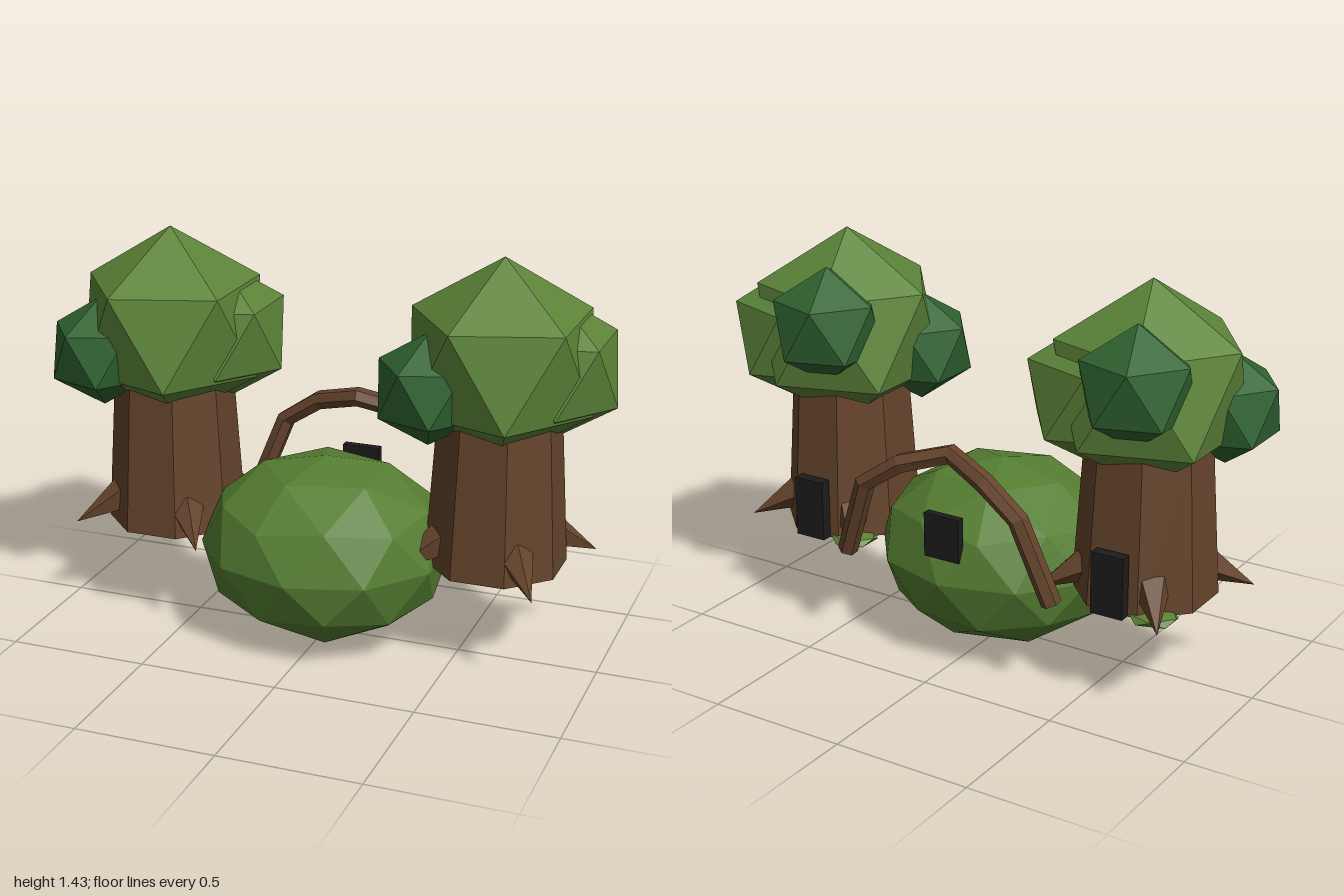
import * as THREE from 'three';

const mat = (name, color) => {
  const m = new THREE.MeshStandardMaterial({ color });
  m.name = name;
  return m;
};

// Faceted normals for the low-poly look
function facet(geo) {
  const g = geo.index ? geo.toNonIndexed() : geo;
  g.computeVertexNormals();
  return g;
}

function add(parent, name, geo, material, x = 0, y = 0, z = 0) {
  const mesh = new THREE.Mesh(facet(geo), material);
  mesh.name = name;
  mesh.position.set(x, y, z);
  parent.add(mesh);
  return mesh;
}

// Icosahedron standing on one of its corners
const blob = (r, detail = 0) =>
  new THREE.IcosahedronGeometry(r, detail).rotateZ(Math.atan(2 / (1 + Math.sqrt(5))));

// Path of straight pieces with a tube ring at every point
class BentPath extends THREE.Curve {
  constructor(points) {
    super();
    this.points = points;
  }
  getPointAt(t, target = new THREE.Vector3()) {
    const n = this.points.length - 1;
    const f = Math.min(Math.max(t, 0), 1) * n;
    const i = Math.min(Math.floor(f + 1e-6), n - 1);
    return target.lerpVectors(this.points[i], this.points[i + 1], f - i);
  }
  getPoint(t, target) {
    return this.getPointAt(t, target);
  }
  getTangentAt(t, target = new THREE.Vector3()) {
    const a = this.getPointAt(t - 0.02);
    return target.copy(this.getPointAt(t + 0.02)).sub(a).normalize();
  }
}

export function createModel() {
  const leaf = mat('leaf green', 0x5c8438);
  const moss = mat('moss green', 0x557e32);
  const darkLeaf = mat('dark leaf green', 0x2f6330);
  const bark = mat('bark brown', 0x65442c);
  const black = mat('black', 0x1c1c1c);

  const model = new THREE.Group();
  model.name = 'treeGate';

  // Round bush in the middle
  add(model, 'bush', blob(1, 1).scale(0.45, 0.335, 0.42), moss, 0, 0.335, 0);
  add(model, 'bushPanel', new THREE.BoxGeometry(0.14, 0.16, 0.03), black, 0, 0.5, -0.375);

  // Bent branch arching behind the bush
  const half = [[0.42, 0.35, -0.36], [0.31, 0.64, -0.395], [0.17, 0.735, -0.38]];
  const points = [
    ...half.map(([x, y, z]) => new THREE.Vector3(-x, y, z)),
    new THREE.Vector3(0, 0.785, -0.325),
    ...half.map(([x, y, z]) => new THREE.Vector3(x, y, z)).reverse(),
  ];
  add(model, 'arch', new THREE.TubeGeometry(new BentPath(points), 6, 0.036, 6), bark);
  for (const [end, next] of [[0, 1], [6, 5]]) {
    const cap = add(model, 'archEnd', new THREE.CircleGeometry(0.036, 6), bark);
    cap.position.copy(points[end]);
    cap.lookAt(points[end].clone().multiplyScalar(2).sub(points[next]));
  }

  // Two equal trees
  for (const [name, x] of [['leftTree', 0.61], ['rightTree', -0.61]]) {
    const tree = new THREE.Group();
    tree.name = name;
    tree.position.set(x, 0, -0.06);
    model.add(tree);

    const trunk = new THREE.CylinderGeometry(0.212, 0.25, 0.58, 8).rotateY(Math.PI / 8);
    add(tree, 'trunk', trunk, bark, 0, 0.63, 0);

    // Crown
    add(tree, 'mainFoliage', blob(0.36), leaf, 0, 1.07, 0);
    add(tree, 'sideFoliage', blob(0.26), leaf, 0.155, 1.04, -0.075);
    add(tree, 'frontFoliage', blob(0.2), darkLeaf, -0.21, 0.99, 0.145);
    add(tree, 'backFoliage', blob(0.21), darkLeaf, -0.05, 1.125, -0.19);

    // Pointed roots around the foot
    for (let i = 0; i < 4; i++) {
      const a = 0.6 + (i * Math.PI) / 2;
      const base = new THREE.Vector3(Math.sin(a) * 0.2, 0.435, Math.cos(a) * 0.2);
      const tip = new THREE.Vector3(Math.sin(a) * 0.375, 0.343, Math.cos(a) * 0.375);
      const axis = tip.clone().sub(base);
      const root = add(tree, 'root', new THREE.ConeGeometry(0.065, axis.length(), 5), bark);
      root.position.copy(base).add(tip).multiplyScalar(0.5);
      root.quaternion.setFromUnitVectors(new THREE.Vector3(0, 1, 0), axis.normalize());
    }

    // Door at the back and a flat moss patch beside it
    add(tree, 'door', new THREE.BoxGeometry(0.12, 0.22, 0.04), black, 0, 0.45, -0.25);
    add(tree, 'mossPatch', blob(0.095).scale(1, 0.24, 0.95), leaf, -0.13, 0.34, -0.18);
  }

  return model;
}
